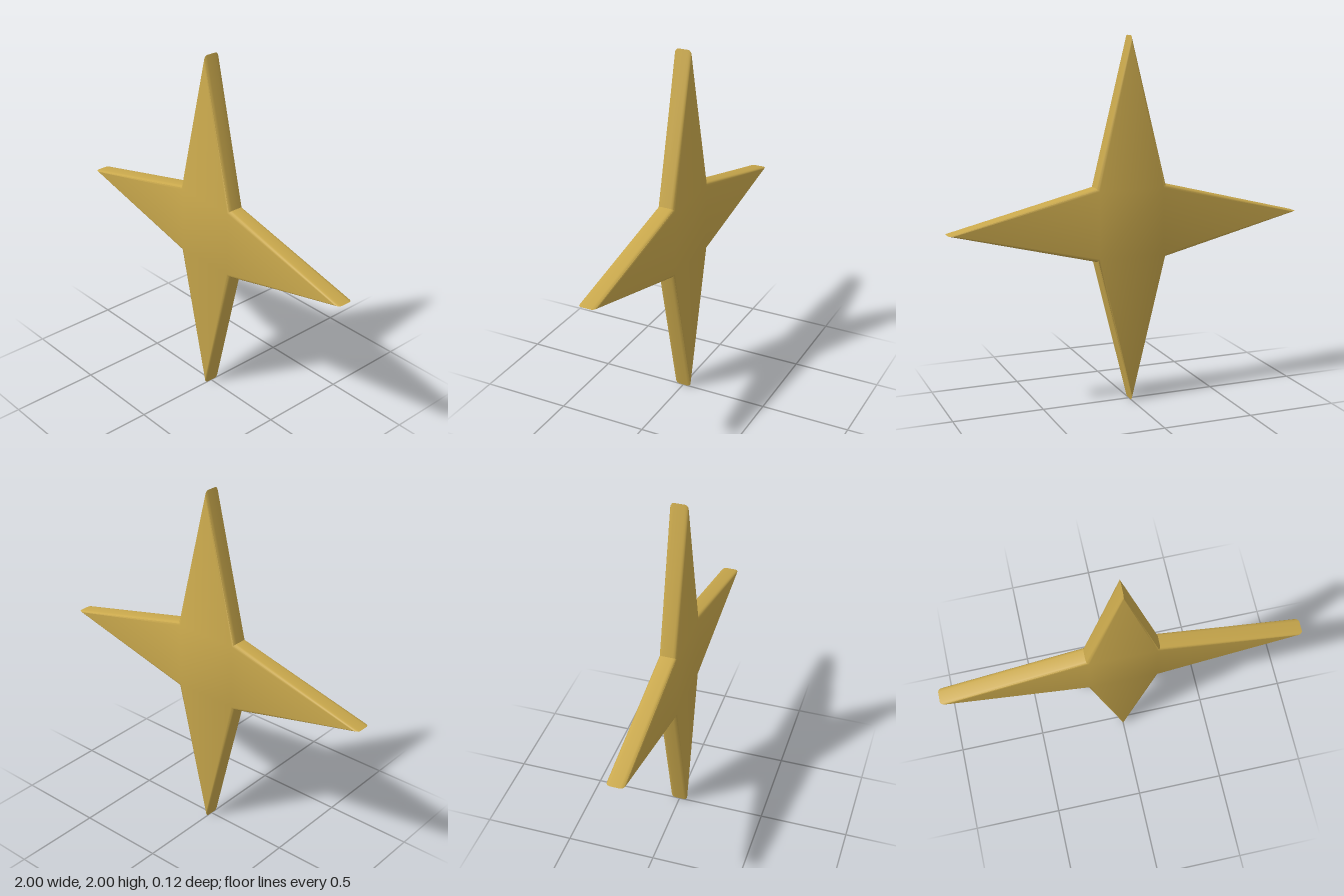
import * as THREE from 'three';
import { toCreasedNormals } from 'three/addons/utils/BufferGeometryUtils.js';

const THICKNESS = 0.096;
const BEVEL = 0.02;

// Four long points alternating with four inner corners
function starShape() {
  const points = [];
  for (let i = 0; i < 8; i++) {
    const angle = (i * Math.PI) / 4;
    const radius = i % 2 ? 0.2 * Math.SQRT2 : 1;
    points.push(new THREE.Vector2(Math.cos(angle) * radius, Math.sin(angle) * radius));
  }
  return new THREE.Shape(points);
}

export function createModel() {
  const gold = new THREE.MeshStandardMaterial({ color: 0xc9a84c });
  gold.name = 'gold';

  // Flat slab with softly rounded rims that stay inside the outline
  const geometry = new THREE.ExtrudeGeometry(starShape(), {
    depth: THICKNESS - 2 * BEVEL,
    bevelEnabled: true,
    bevelThickness: BEVEL,
    bevelSize: BEVEL,
    bevelOffset: -BEVEL,
    bevelSegments: 3,
  });
  geometry.translate(0, 0, BEVEL - THICKNESS / 2);

  const star = new THREE.Mesh(toCreasedNormals(geometry, 0.7), gold);
  star.name = 'star';
  star.position.y = 1;
  star.rotation.y = -0.012; // slight turn about the upright axis

  const group = new THREE.Group();
  group.name = 'fourPointStar';
  group.add(star);
  return group;
}
